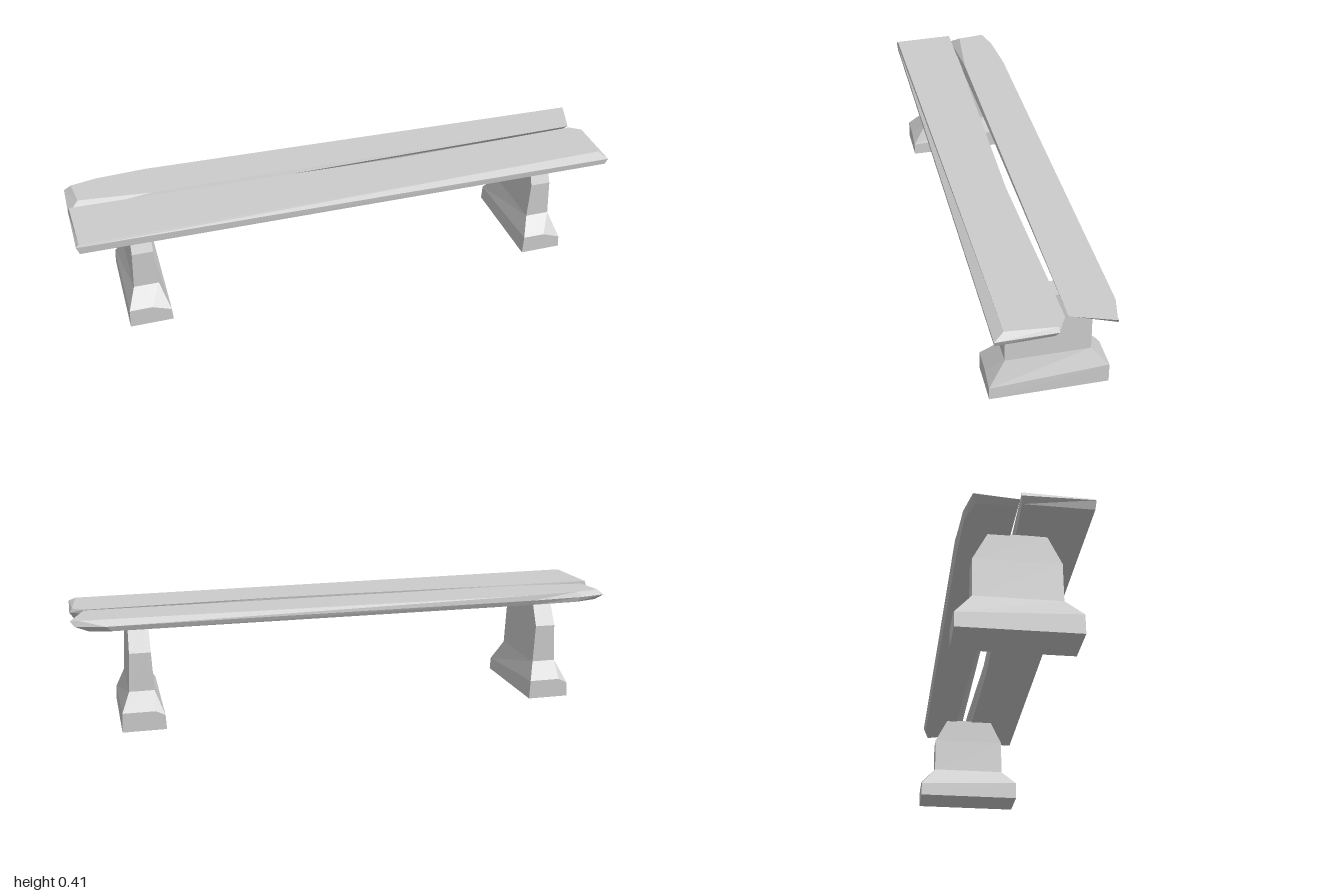
import * as THREE from 'three';

const material = new THREE.MeshStandardMaterial({ color: 0xcccccc, flatShading: true });

// Skins a stack of equal-length rings (bottom to top, counterclockwise from above) and caps both ends.
function loft(name, rings) {
  const pos = [];
  const tri = (a, b, c) => pos.push(...a, ...b, ...c);
  const n = rings[0].length;
  for (let i = 0; i < rings.length - 1; i++) {
    for (let j = 0; j < n; j++) {
      const k = (j + 1) % n, lo = rings[i], hi = rings[i + 1];
      tri(lo[j], lo[k], hi[k]);
      tri(lo[j], hi[k], hi[j]);
    }
  }
  const centre = (ring) => [0, 1, 2].map((c) => ring.reduce((s, p) => s + p[c], 0) / n);
  const bottom = rings[0], top = rings[rings.length - 1];
  for (let j = 0; j < n; j++) {
    const k = (j + 1) % n;
    tri(centre(bottom), bottom[k], bottom[j]);
    tri(centre(top), top[j], top[k]);
  }
  const geometry = new THREE.BufferGeometry();
  geometry.setAttribute('position', new THREE.Float32BufferAttribute(pos, 3));
  geometry.computeVertexNormals();
  const mesh = new THREE.Mesh(geometry, material);
  mesh.name = name;
  return mesh;
}

// Stone pedestal: rectangular sections with two chipped corners on the plinth
function createLeg(name, x) {
  const sections = [ // y, half width, back z, front z
    [0, 0.078, -0.215, 0.195],
    [0.07, 0.075, -0.215, 0.195],
    [0.13, 0.045, -0.157, 0.136],
    [0.27, 0.038, -0.157, 0.136],
    [0.37, 0.036, -0.105, 0.088],
  ];
  const rings = sections.map(([y, w, back, front]) => [
    [-w, y, front], [w * 0.1, y, front], [w, y, front],
    [w, y, back], [-w * 0.55, y, back], [-w, y, back],
  ]);
  rings[1][2][1] = 0.045;
  rings[1][5][1] = 0.053;
  const leg = loft(name, rings);
  leg.position.x = x;
  return leg;
}

// Plank from [x, z] outlines; y may be overridden per point
const ring = (y, points) => points.map(([x, z, py]) => [x, py ?? y, z]);

export function createModel() {
  const group = new THREE.Group();
  group.name = 'bench';

  group.add(createLeg('rightLeg', -0.772), createLeg('leftLeg', 0.768));

  // Front plank: worn front edge towards the left end, dented inner edge
  group.add(loft('frontPlank', [
    ring(0.366, [[-0.985, 0.21], [0.99, 0.21], [0.985, 0.02], [0.94, 0.0], [0.23, 0.01], [-0.6, -0.01], [-0.98, -0.02, 0.372]]),
    ring(0.39, [[-0.995, 0.213, 0.395], [1.0, 0.213, 0.388], [1.0, 0.01], [0.955, -0.015], [0.23, 0.002], [-0.6, -0.02], [-1.0, -0.023]]),
    ring(0.405, [[-0.985, 0.209], [0.975, 0.178], [0.99, 0.01], [0.95, -0.02], [0.23, 0.0], [-0.6, -0.018], [-0.995, -0.022]]),
  ]));

  // Back plank: undercut left end, broken corners at the right end
  group.add(loft('backPlank', [
    ring(0.366, [[-0.98, -0.035], [-0.7, -0.033], [0.9, -0.07], [0.94, -0.175], [0.86, -0.195], [-0.7, -0.195], [-0.88, -0.19], [-0.97, -0.165]]),
    ring(0.385, [[-1.0, -0.028, 0.375], [-0.7, -0.03], [0.93, -0.045], [0.985, -0.178], [0.88, -0.203], [-0.7, -0.205], [-0.9, -0.196], [-1.0, -0.175]]),
    ring(0.405, [[-0.96, -0.062], [-0.7, -0.036], [0.95, -0.03], [1.0, -0.175], [0.97, -0.176], [-0.7, -0.203], [-0.88, -0.19], [-0.975, -0.168]]),
  ]));

  return group;
}
